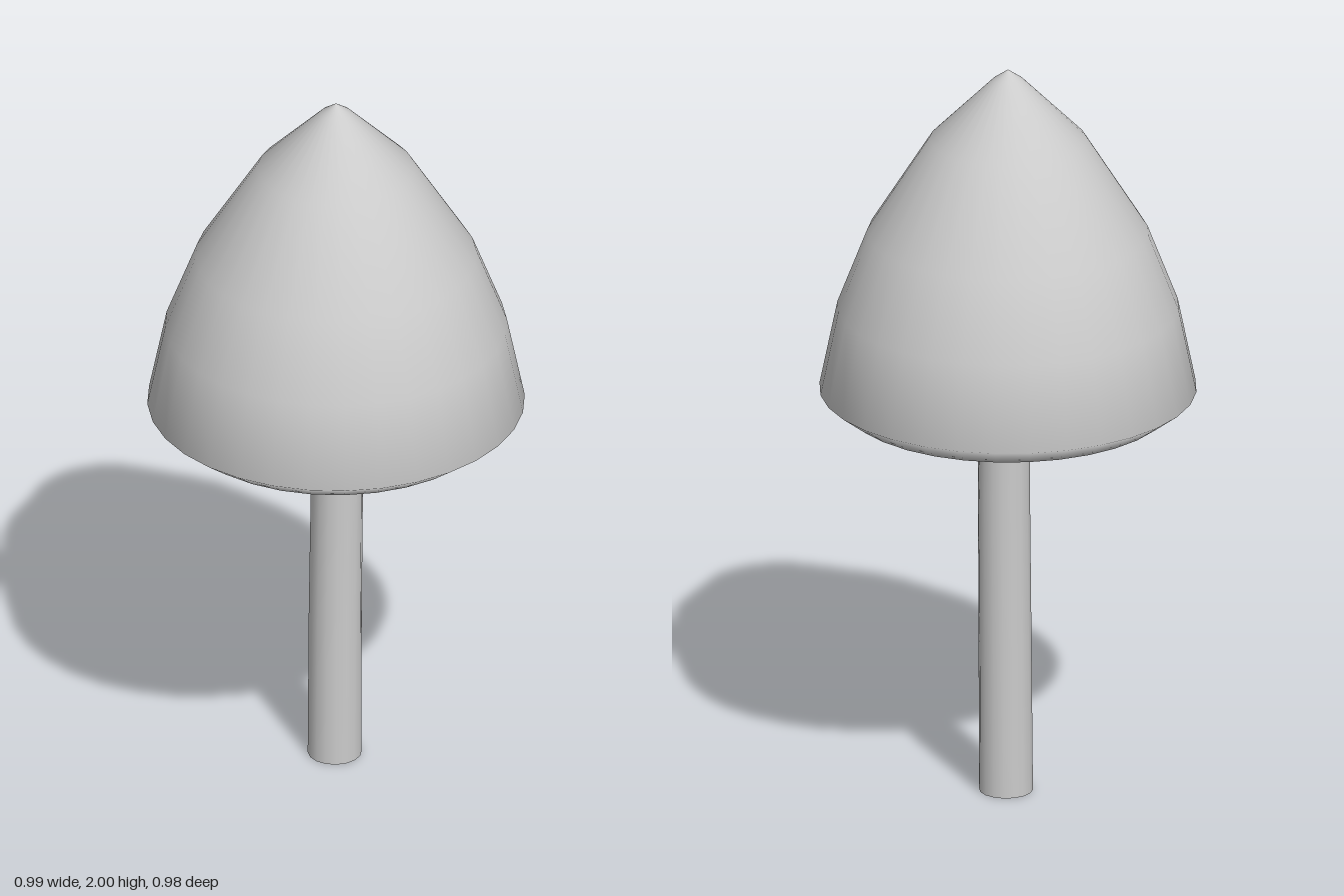
import * as THREE from 'three';

const material = new THREE.MeshStandardMaterial({ color: 0xcccccc, side: THREE.DoubleSide });

// Pointed bell cap: hollow underside, bevelled rim, then the outer dome
function createCap() {
  const profile = [
    [0, 1.42], [0.1, 1.38], [0.18, 1.28], [0.25, 1.17], [0.36, 1.1], // underside
    [0.43, 1.055], [0.497, 1.105],                                   // rim
    [0.45, 1.335], [0.37, 1.543], [0.206, 1.805], [0.04, 1.972], [0, 2], // dome
  ].map(([r, y]) => new THREE.Vector2(r, y));
  const geometry = new THREE.LatheGeometry(profile, 32);
  geometry.scale(1, 1, 0.985);
  const cap = new THREE.Mesh(geometry, material);
  cap.name = 'cap';
  return cap;
}

// Stem centre line as [y, x, z]
const stemPath = [
  [0, 0, -0.069], [0.42, 0.002, -0.077], [0.84, 0.006, -0.062], [1.05, 0.006, -0.043], [1.4, 0.003, -0.01],
];

function stemCentre(y) {
  let i = 0;
  while (i < stemPath.length - 2 && y > stemPath[i + 1][0]) i++;
  const [a, b] = [stemPath[i], stemPath[i + 1]];
  const t = (y - a[0]) / (b[0] - a[0]);
  return [THREE.MathUtils.lerp(a[1], b[1], t), THREE.MathUtils.lerp(a[2], b[2], t)];
}

// Slightly bent stem with flat ends: a cylinder whose rings follow the centre line
function createStem() {
  const height = 1.4;
  const geometry = new THREE.CylinderGeometry(0.067, 0.071, height, 16, 10);
  geometry.translate(0, height / 2, 0);
  const position = geometry.attributes.position;
  for (let i = 0; i < position.count; i++) {
    const [x, z] = stemCentre(position.getY(i));
    position.setX(i, position.getX(i) + x);
    position.setZ(i, position.getZ(i) + z);
  }
  const stem = new THREE.Mesh(geometry, material);
  stem.name = 'stem';
  return stem;
}

export function createModel() {
  const mushroom = new THREE.Group();
  mushroom.name = 'mushroom';
  mushroom.add(createCap(), createStem());
  return mushroom;
}
